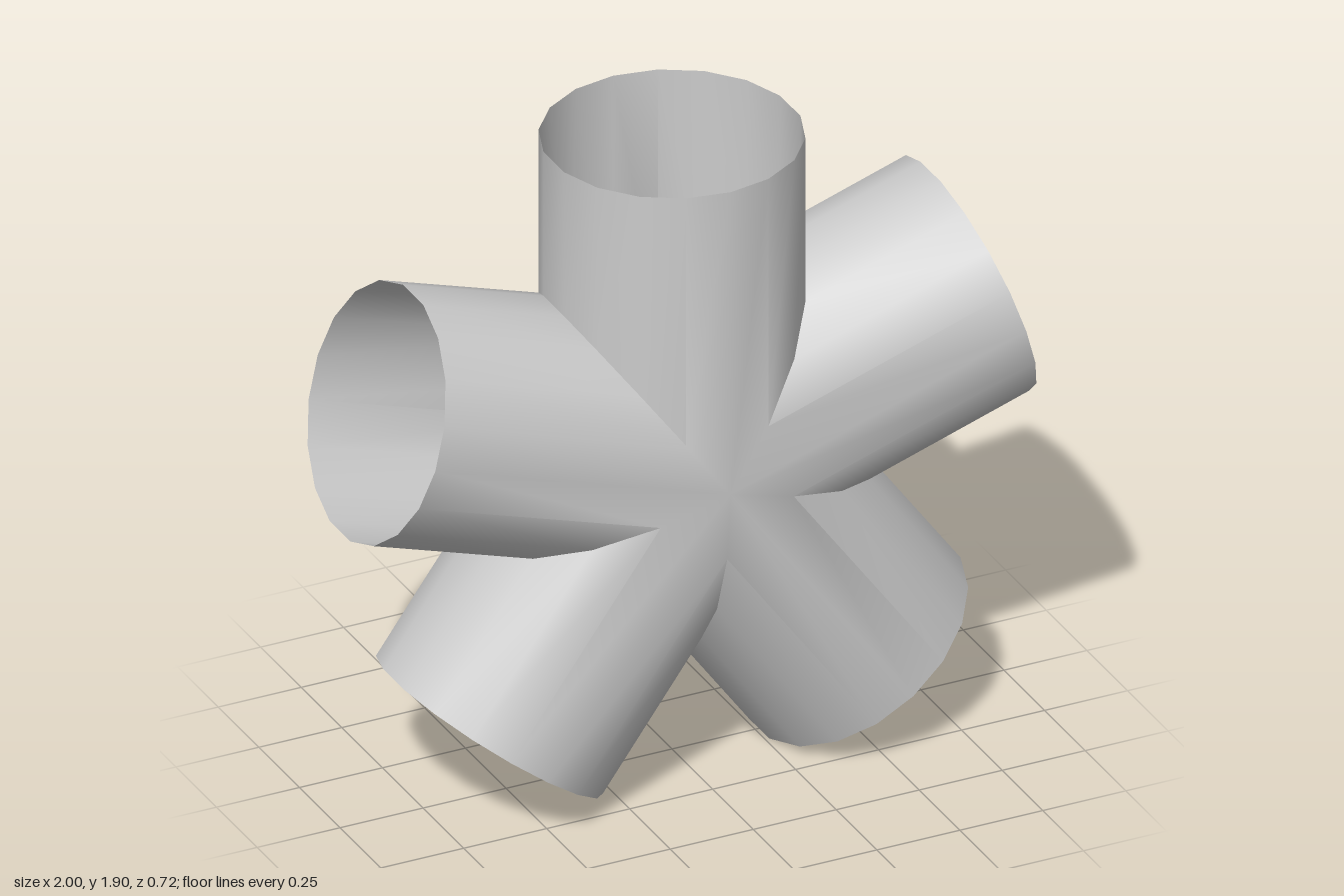
import * as THREE from 'three';
import { mergeGeometries, toCreasedNormals } from 'three/addons/utils/BufferGeometryUtils.js';

const ARMS = 5;
const RADIUS = 0.362;
const LENGTH = 0.936;    // from the hub centre to the open end
const HUB_Y = 0.967;
const SIDES = 18;

// Open tube pointing up, its inner end mitred to meet both neighbouring tubes
function mitredTube() {
  const tube = new THREE.CylinderGeometry(RADIUS, RADIUS, LENGTH, SIDES, 1, true);
  tube.translate(0, LENGTH / 2, 0);
  const pos = tube.attributes.position;
  const slope = 1 / Math.tan(Math.PI / ARMS);
  for (let i = 0; i < pos.count; i++) {
    if (pos.getY(i) < LENGTH / 2) pos.setY(i, Math.abs(pos.getX(i)) * slope);
  }
  tube.deleteAttribute('uv');
  return tube;
}

export function createModel() {
  const group = new THREE.Group();
  group.name = 'pipeJunction';

  // Five tubes spread evenly around the hub, joined into one hollow shell
  const tubes = [];
  for (let i = 0; i < ARMS; i++) {
    tubes.push(mitredTube().rotateZ((i * 2 * Math.PI) / ARMS));
  }
  const shell = toCreasedNormals(mergeGeometries(tubes), 0.65);

  const material = new THREE.MeshStandardMaterial({ color: 0xcccccc, side: THREE.DoubleSide });
  const mesh = new THREE.Mesh(shell, material);
  mesh.name = 'fiveWayPipe';
  mesh.position.y = HUB_Y;
  group.add(mesh);
  return group;
}
